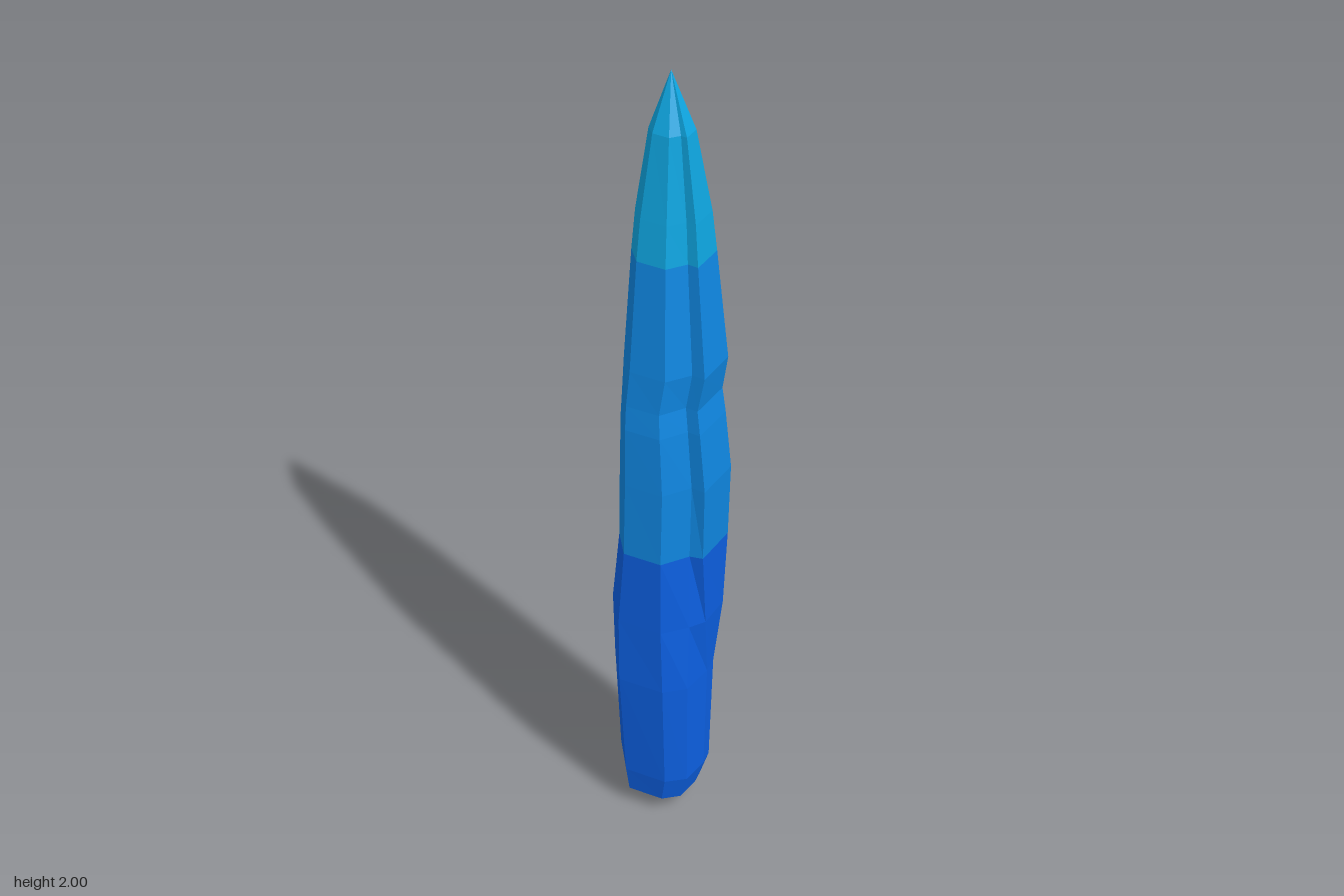
import * as THREE from 'three';

// Cross-sections [x, z], clockwise from above, same corner order in both
const BASE = [[-.135, -.035], [-.05, -.11], [0, -.135], [.05, -.115], [.11, -.075], [.13, -.015],
  [.115, .05], [.05, .105], [.01, .115], [-.07, .115], [-.115, .075]];
// The shaft section has a raised front slab with a small step on its right edge
const SHAFT = [[-.13, -.02], [-.08, -.07], [-.02, -.08], [.05, -.075], [.09, -.05], [.1, -.01],
  [.1, .055], [.07, .13], [-.047, .138], [-.05, .105], [-.115, .07]];

// Levels: [y, minX, maxX, minZ, maxZ, blend from BASE to SHAFT]
const LEVELS = [
  [.01, -.06, .08, -.06, .03, 0],
  [.05, -.11, .09, -.105, .09, 0],
  [.12, -.12, .112, -.122, .11, 0],
  [.42, -.135, .13, -.135, .115, 0],
  [.6, -.133, .117, -.12, .13, .55],
  [.805, -.13, .105, -.085, .135, .9],
  [1.0, -.125, .1, -.08, .14, 1],
  [1.15, -.12, .095, -.077, .125, 1],
  [1.21, -.113, .094, -.076, .115, 1],
  [1.3, -.105, .092, -.075, .13, 1],
  [1.57, -.075, .08, -.066, .1, 1],
  [1.67, -.063, .072, -.06, .09, 1],
  [1.87, -.036, .04, -.032, .062, 1],
];

// Blend the two sections, then fit the result to the level's bounds
function ring([y, x0, x1, z0, z1, w]) {
  const pts = BASE.map((p, i) => p.map((v, k) => THREE.MathUtils.lerp(v, SHAFT[i][k], w)));
  const fit = (k, lo, hi) => {
    const vals = pts.map(p => p[k]);
    const min = Math.min(...vals), max = Math.max(...vals);
    return vals.map(v => THREE.MathUtils.mapLinear(v, min, max, lo, hi));
  };
  const xs = fit(0, x0, x1), zs = fit(1, z0, z1);
  return xs.map((x, i) => [x, y, zs[i]]);
}

// Faceted skin through the rings, optionally closed to a point at either end
function facets(rings, bottom, tip) {
  const pos = [], n = BASE.length;
  const tri = (a, b, c) => pos.push(...a, ...b, ...c);
  for (let i = 0; i < n; i++) {
    const j = (i + 1) % n;
    for (let r = 0; r + 1 < rings.length; r++) {
      const lo = rings[r], hi = rings[r + 1];
      tri(lo[i], hi[i], hi[j]);
      tri(lo[i], hi[j], lo[j]);
    }
    const top = rings[rings.length - 1];
    if (bottom) tri(bottom, rings[0][i], rings[0][j]);
    if (tip) tri(top[i], tip, top[j]);
  }
  const geo = new THREE.BufferGeometry();
  geo.setAttribute('position', new THREE.Float32BufferAttribute(pos, 3));
  geo.computeVertexNormals();
  return geo;
}

function material(name, color) {
  const m = new THREE.MeshStandardMaterial({ color, flatShading: true });
  m.name = name;
  return m;
}

export function createModel() {
  const group = new THREE.Group();
  group.name = 'crystalShard';
  const rings = LEVELS.map(ring);
  const add = (name, geo, mat) => {
    const mesh = new THREE.Mesh(geo, mat);
    mesh.name = name;
    group.add(mesh);
  };
  // Three colour bands share their border rings
  add('crystalBase', facets(rings.slice(0, 6), [0, 0, -.01]), material('deepBlue', 0x0c5fe0));
  add('crystalShaft', facets(rings.slice(5, 11)), material('blue', 0x0f86e0));
  add('crystalTip', facets(rings.slice(10), null, [.015, 2, .005]), material('cyan', 0x0ea5e0));
  return group;
}
